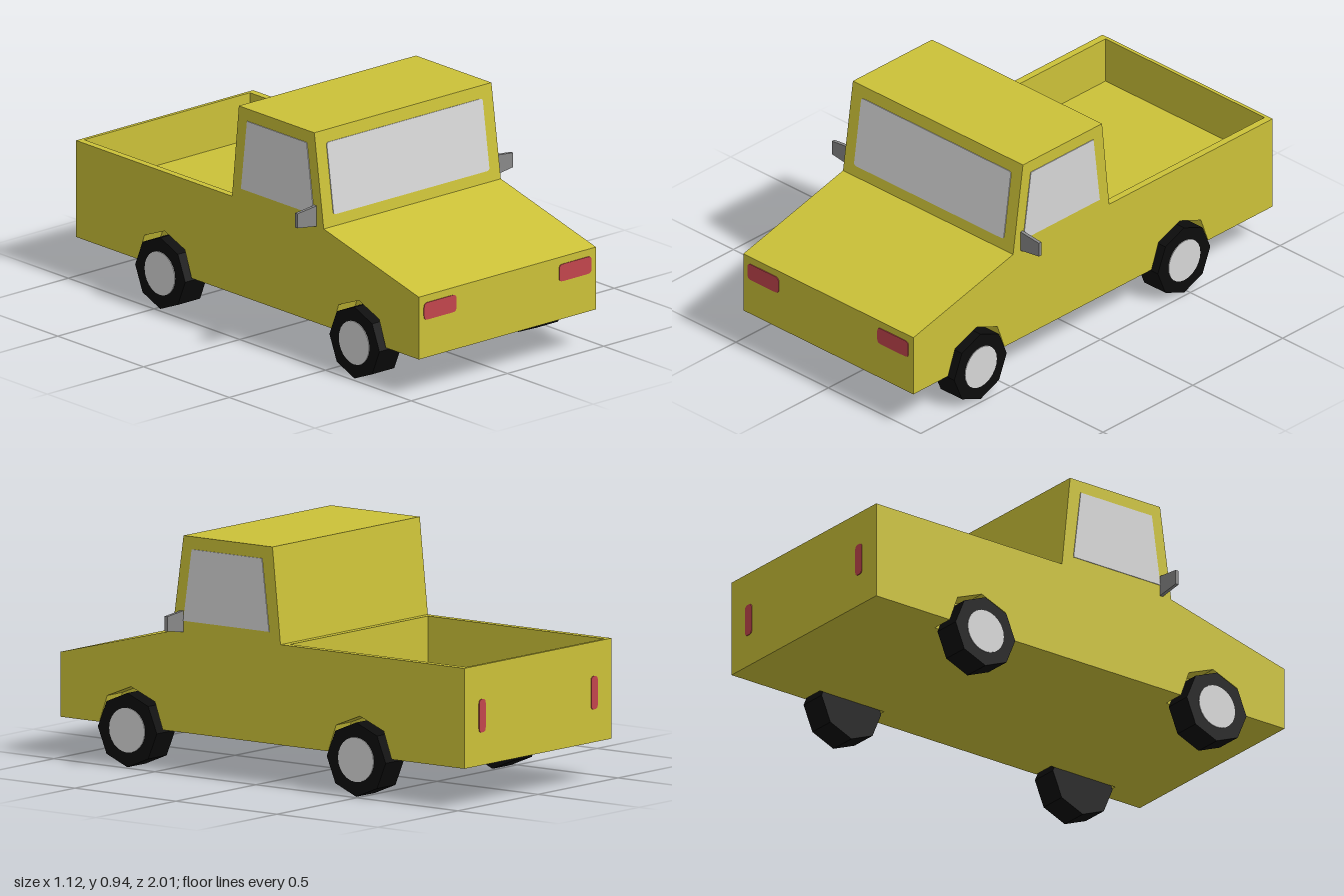
import * as THREE from 'three';

const material = (name, color, side = THREE.FrontSide) => {
  const m = new THREE.MeshStandardMaterial({ color, side });
  m.name = name;
  return m;
};

// Extrudes a side profile of [z, y] points from x0 to x1
function slab(points, x0, x1) {
  const shape = new THREE.Shape(points.map(([z, y]) => new THREE.Vector2(z, y)));
  const geometry = new THREE.ExtrudeGeometry(shape, { depth: x1 - x0, bevelEnabled: false });
  return geometry.rotateY(-Math.PI / 2).translate(x1, 0, 0);
}

// Thin plate with rounded corners, centred on the origin and facing +z
function plate(w, h, r, depth = 0.006) {
  const x = w / 2, y = h / 2, s = new THREE.Shape();
  s.moveTo(-x + r, -y).lineTo(x - r, -y).quadraticCurveTo(x, -y, x, -y + r)
    .lineTo(x, y - r).quadraticCurveTo(x, y, x - r, y)
    .lineTo(-x + r, y).quadraticCurveTo(-x, y, -x, y - r)
    .lineTo(-x, -y + r).quadraticCurveTo(-x, -y, -x + r, -y);
  return new THREE.ExtrudeGeometry(s, { depth, bevelEnabled: false, curveSegments: 4 })
    .translate(0, 0, -depth / 2);
}

const AXLES = [-0.483, 0.65];

// Side profile, with optional wheel arches and sunken cargo bed
function bodyProfile(arches, bed) {
  const points = [[-1, 0.16]];
  if (arches) {
    for (const z of AXLES) {
      for (const [dz, y] of [[-0.157, 0.16], [-0.118, 0.267], [0, 0.314], [0.118, 0.267], [0.157, 0.16]]) {
        points.push([z + dz, y]);
      }
    }
  }
  points.push([1, 0.16], [1, 0.415], [0.445, 0.555], [0.39, 0.935], [-0.05, 0.935], [-0.09, 0.555]);
  if (bed) points.push([-0.115, 0.555], [-0.115, 0.365], [-0.985, 0.365], [-0.985, 0.555]);
  points.push([-1, 0.555]);
  return points;
}

export function createModel() {
  const model = new THREE.Group();
  model.name = 'pickupTruck';
  const paint = material('yellow paint', 0xcbc138);
  const glass = material('pale glass', 0xd6d6d6);
  const red = material('red lamp', 0xc2454c);
  const rubber = material('black rubber', 0x0c0c0c);
  const grey = material('grey trim', 0x888888);

  const add = (name, geometry, mat, parent = model) => {
    const mesh = new THREE.Mesh(geometry, mat);
    mesh.name = name;
    parent.add(mesh);
    return mesh;
  };

  // Body: solid core, inner flanks with bed and arches, outer bed walls
  const body = new THREE.Group();
  body.name = 'body';
  model.add(body);
  add('bodyCore', slab(bodyProfile(false, true), -0.365, 0.365), paint, body);
  for (const [a, b, bed] of [[0.365, 0.43, true], [0.43, 0.46, false]]) {
    const name = bed ? 'innerFlank' : 'outerFlank';
    add(name, slab(bodyProfile(true, bed), a, b), paint, body);
    add(name, slab(bodyProfile(true, bed), -b, -a), paint, body);
  }

  // Windscreen on the sloped cab front
  const windscreen = add('windscreen', plate(0.81, 0.288, 0.012), glass);
  windscreen.position.set(0, 0.7425, 0.418);
  windscreen.rotation.x = -Math.atan2(0.055, 0.38);

  const sideWindow = [[-0.035, 0.6], [0.39, 0.6], [0.348, 0.885], [0, 0.885]];

  // Mirror blade, narrowing outwards
  const mirrorShape = (side) => new THREE.Shape(
    [[0.455, 0.555], [0.56, 0.57], [0.56, 0.629], [0.455, 0.64]]
      .map(([x, y]) => new THREE.Vector2(side * x, y)));

  for (const side of [1, -1]) {
    const label = side > 0 ? 'left' : 'right';
    add(label + 'Window', slab(sideWindow, side * 0.46 - 0.003, side * 0.46 + 0.003), glass);
    add(label + 'Mirror', new THREE.ExtrudeGeometry(mirrorShape(side), { depth: 0.014, bevelEnabled: false })
      .translate(0, 0, 0.39), grey);
    add(label + 'Headlight', plate(0.168, 0.07, 0.018), red).position.set(side * 0.351, 0.35, 1);
    add(label + 'TailLight', plate(0.04, 0.13, 0.016), red).position.set(side * 0.35, 0.355, -1);

    // Eight-sided tyres with round hub discs
    for (const z of AXLES) {
      const wheel = new THREE.Group();
      wheel.name = label + (z > 0 ? 'FrontWheel' : 'RearWheel');
      wheel.position.set(side * 0.4255, 0.146, z);
      model.add(wheel);
      const tyre = new THREE.CylinderGeometry(0.146, 0.146, 0.115, 8).toNonIndexed();
      tyre.computeVertexNormals();
      add('tyre', tyre.rotateZ(Math.PI / 2), rubber, wheel);
      const hub = new THREE.CylinderGeometry(0.088, 0.088, 0.006, 24).rotateZ(Math.PI / 2);
      add('hub', hub, glass, wheel).position.x = side * 0.0575;
    }
  }
  return model;
}
